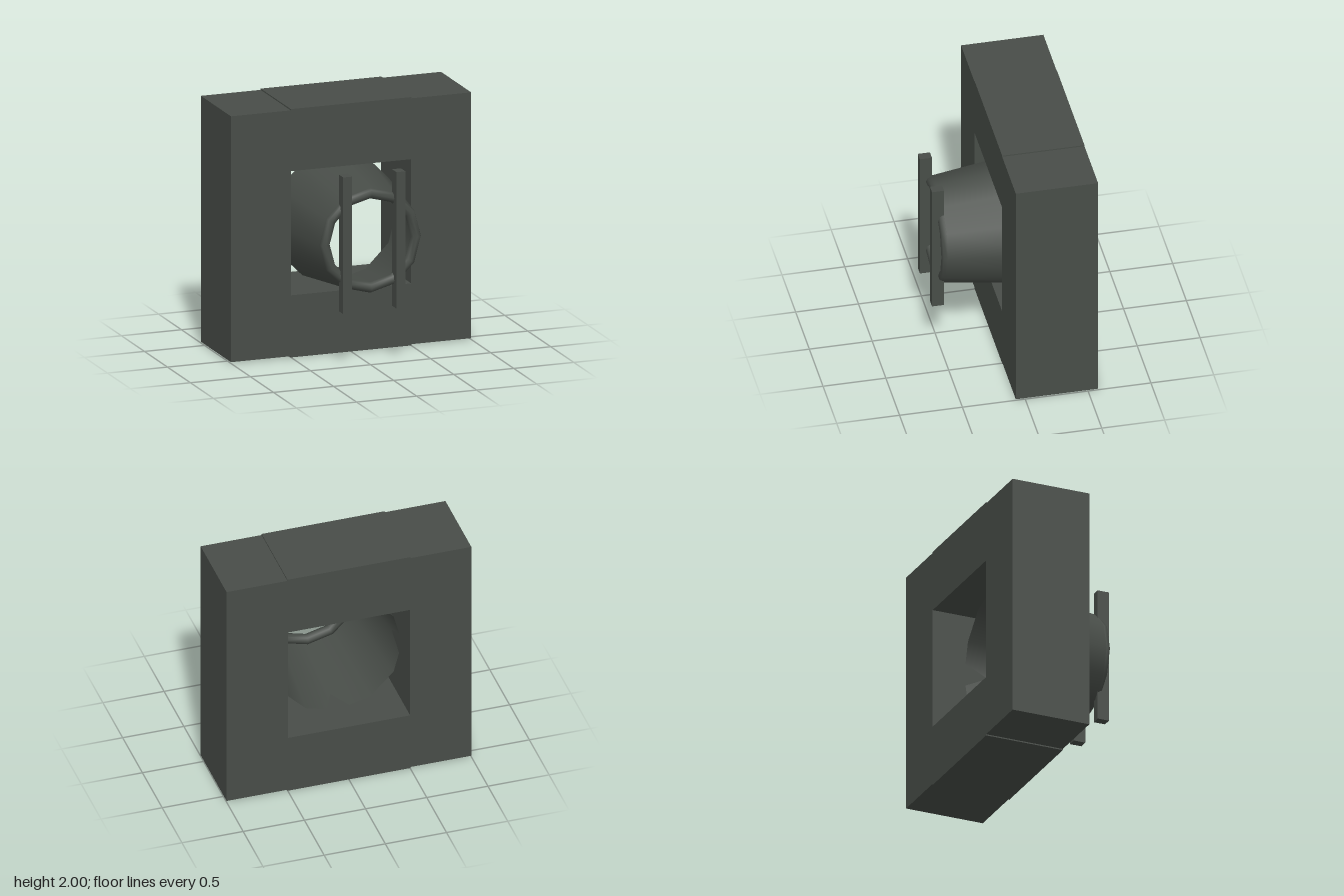
import * as THREE from 'three';

export function createModel() {
  const model = new THREE.Group();
  const metal = new THREE.MeshStandardMaterial({ color: 0x484d48 });
  metal.name = 'darkGreyGreen';
  metal.side = THREE.DoubleSide; // the sleeve is an open tube

  const add = (name, geometry, x, y, z) => {
    const mesh = new THREE.Mesh(geometry, metal);
    mesh.name = name;
    mesh.position.set(x, y, z);
    model.add(mesh);
    return mesh;
  };

  // Square frame: two side blocks, slightly shorter than the middle blocks
  const depth = 0.655, frameZ = -0.2525;
  for (const [side, s] of [['left', 1], ['right', -1]]) {
    add(side + 'FrameBlock', new THREE.BoxGeometry(0.5, 1.98, depth), s * 0.75, 1, frameZ);
  }
  for (const [end, s] of [['top', 1], ['bottom', -1]]) {
    add(end + 'FrameBlock', new THREE.BoxGeometry(1.004, 0.5, depth), 0, 1 + s * 0.75, frameZ);
  }

  // Tapered open sleeve pushed through the frame
  const sleeve = new THREE.CylinderGeometry(0.42, 0.525, 0.79, 12, 1, true);
  sleeve.rotateX(Math.PI / 2);
  add('sleeve', sleeve, 0, 1, 0.095);

  // Rolled rim at the mouth of the sleeve
  add('rim', new THREE.TorusGeometry(0.38, 0.042, 8, 12), 0, 1, 0.49);

  // Upright bars across the mouth
  for (const [side, s] of [['left', 1], ['right', -1]]) {
    add(side + 'Bar', new THREE.BoxGeometry(0.074, 1.1, 0.096), s * 0.222, 1.003, 0.532);
  }

  return model;
}
